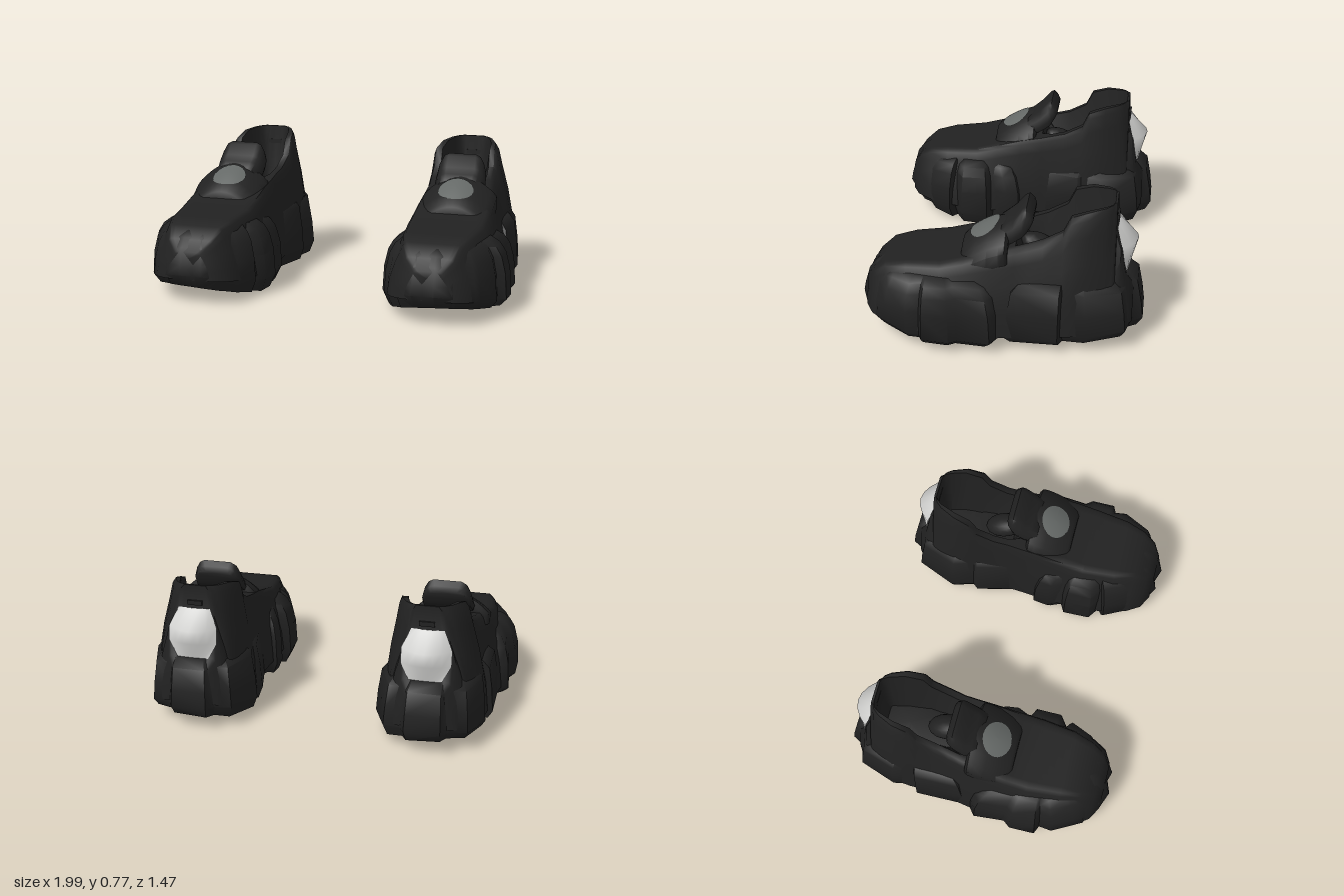
import * as THREE from 'three';
import { toCreasedNormals } from 'three/addons/utils/BufferGeometryUtils.js';

const black = new THREE.MeshStandardMaterial({ color: 0x212121 });
black.name = 'black fabric';
const grey = new THREE.MeshStandardMaterial({ color: 0x646866 });
grey.name = 'grey badge';
const white = new THREE.MeshStandardMaterial({ color: 0xd6d6d4, side: THREE.DoubleSide });
white.name = 'pale heel panel';

// Joins closed rings of [x, y, z] points into a capped solid that faces outwards
function loft(rings, side, crease) {
  const n = rings[0].length;
  const pos = rings.flat().map((p) => [p[0] * side, p[1], p[2]]);
  const tris = [];
  for (let i = 0; i < rings.length - 1; i++) {
    for (let j = 0; j < n; j++) {
      const a = i * n + j, b = i * n + (j + 1) % n;
      tris.push([a, b, a + n], [b, b + n, a + n]);
    }
  }
  for (const [start, flip] of [[0, true], [(rings.length - 1) * n, false]]) {
    const c = [0, 1, 2].map((k) => pos.slice(start, start + n).reduce((s, p) => s + p[k], 0) / n);
    pos.push(c);
    const ci = pos.length - 1;
    for (let j = 0; j < n; j++) {
      const a = start + j, b = start + (j + 1) % n;
      tris.push(flip ? [ci, b, a] : [ci, a, b]);
    }
  }
  const v = pos.map((p) => new THREE.Vector3(...p));
  const volume = tris.reduce((s, [a, b, c]) => s + v[a].dot(v[b].clone().cross(v[c])), 0);
  const index = tris.map(([a, b, c]) => (volume < 0 ? [a, c, b] : [a, b, c])).flat();
  const geo = new THREE.BufferGeometry();
  geo.setAttribute('position', new THREE.Float32BufferAttribute(pos.flat(), 3));
  geo.setIndex(index);
  return toCreasedNormals(geo, crease);
}

// Lugged sole outlines (x, z)
const foreOutline = [
  [0.62, 0.71], [0.69, 0.735], [0.78, 0.70], [0.79, 0.67], [0.88, 0.63], [0.90, 0.59], [0.96, 0.47],
  [0.95, 0.40], [0.995, 0.38], [0.995, 0.24], [0.965, 0.20], [0.98, 0.03], [0.93, -0.01],
  [0.42, -0.01], [0.40, 0.03], [0.36, 0.04], [0.35, 0.12], [0.385, 0.20], [0.33, 0.23], [0.33, 0.38],
  [0.40, 0.43], [0.36, 0.46], [0.41, 0.58], [0.47, 0.62], [0.48, 0.67], [0.57, 0.725],
];
const heelOutline = [
  [0.93, -0.04], [0.935, -0.31], [0.89, -0.33], [0.915, -0.45], [0.85, -0.65], [0.75, -0.675],
  [0.72, -0.735], [0.53, -0.735], [0.50, -0.675], [0.41, -0.66], [0.33, -0.45], [0.37, -0.33],
  [0.345, -0.30], [0.40, -0.07], [0.42, -0.04],
];

const lift = (z) => (z > 0
  ? 0.003 + 0.095 * (Math.max(0, z - 0.2) / 0.53) ** 2
  : 0.02 + 0.04 * Math.max(0, -z - 0.3) / 0.4);

// Each level is [height, scale]; the first two follow the curved underside
function soleGeometry(outline, zc, levels, side) {
  const rings = levels.map(([h, s], i) => outline.map(([x, z]) => {
    const px = 0.65 + (x - 0.65) * s, pz = zc + (z - zc) * s;
    const y = i < 2 ? lift(pz) + h + 0.06 * (px - 0.39) * (1 - i) : h;
    return [px, y, pz];
  }));
  return loft(rings, side, 0.95);
}

// Upper: [z, base inner x, base outer x, top inner x, top outer x, top y, depth of opening]
const upperSections = [
  [0.70, 0.52, 0.78, 0.58, 0.72, 0.29, 0],
  [0.66, 0.45, 0.85, 0.53, 0.77, 0.35, 0],
  [0.59, 0.41, 0.90, 0.50, 0.80, 0.408, 0],
  [0.48, 0.38, 0.94, 0.47, 0.83, 0.43, 0],
  [0.30, 0.36, 0.965, 0.45, 0.85, 0.447, 0],
  [0.18, 0.37, 0.96, 0.45, 0.85, 0.48, 0],
  [0.04, 0.38, 0.95, 0.45, 0.84, 0.52, 0],
  [-0.08, 0.39, 0.93, 0.45, 0.82, 0.545, 0],
  [-0.14, 0.39, 0.93, 0.45, 0.81, 0.56, 0.18],
  [-0.22, 0.38, 0.92, 0.44, 0.80, 0.585, 0.28],
  [-0.32, 0.37, 0.91, 0.435, 0.795, 0.64, 0.36],
  [-0.36, 0.37, 0.91, 0.435, 0.79, 0.725, 0.43],
  [-0.45, 0.37, 0.90, 0.45, 0.78, 0.754, 0.45],
  [-0.53, 0.39, 0.87, 0.485, 0.745, 0.764, 0.43],
  [-0.56, 0.40, 0.86, 0.51, 0.72, 0.768, 0.25],
  [-0.57, 0.40, 0.86, 0.53, 0.70, 0.77, 0],
  [-0.583, 0.41, 0.85, 0.54, 0.69, 0.77, 0],
  [-0.585, 0.41, 0.85, 0.52, 0.72, 0.64, 0],
  [-0.61, 0.42, 0.84, 0.50, 0.75, 0.57, 0],
  [-0.64, 0.43, 0.83, 0.50, 0.75, 0.385, 0],
  [-0.68, 0.48, 0.77, 0.53, 0.72, 0.34, 0],
];
// Side wall as [height, inward lean] fractions
const wall = [[0, 0], [0.3, 0.14], [0.6, 0.46], [0.82, 0.78], [0.95, 0.95], [1, 1.12]];

function upperRing([z, bi, bo, ti, to, top, dip]) {
  const y0 = 0.09 + 0.1 * z * z;
  const mid = (ti + to) / 2;
  const half = (b, t) => {
    const pts = wall.map(([h, f]) => [b + (t - b) * f, y0 + (top - y0) * h, z]);
    for (const [f, d] of [[0.24, 0], [0.4, 0.5], [0.62, 1]]) pts.push([t + (mid - t) * f, top - dip * d, z]);
    return pts;
  };
  return [...half(bi, ti), [mid, top - dip, z], ...half(bo, to).reverse()];
}

// Strap domed across the instep: centre-line height, then an arched section
const strapX = 0.66, strapHalf = 0.2;
const strapTop = (z) => 0.518 + 0.85 * (0.2 - z) - 1.4 * (0.2 - z) ** 2;
const strapY = (dx, z) => strapTop(z) - 0.1 * (dx / strapHalf) ** 2;

function strapRing([z, width, sink]) {
  const ring = [];
  for (let i = 0; i <= 12; i++) {
    const dx = (i / 6 - 1) * strapHalf;
    ring.push([strapX + dx * width, strapY(dx, z) - sink, z]);
  }
  const base = strapTop(z) - 0.17;
  return [...ring, [strapX + strapHalf * width, base, z], [strapX - strapHalf * width, base, z]];
}
const strapSections = [[0.20, 0.9, 0.005], [0.185, 0.95, 0], [0.13, 0.98, 0], [0.06, 1, 0], [0, 1, 0],
  [-0.03, 0.98, 0], [-0.045, 0.92, 0.02]];

// Badge follows the dome of the strap
function badgeGeometry(side) {
  const geo = new THREE.RingGeometry(0, 1, 20, 4);
  const p = geo.attributes.position;
  for (let i = 0; i < p.count; i++) {
    const dx = p.getX(i) * 0.097, z = 0.09 - p.getY(i) * 0.077;
    p.setXYZ(i, (strapX - 0.007) * side + dx, strapY(dx, z) + 0.006, z);
  }
  geo.computeVertexNormals();
  return geo;
}

// Tongue section: [z, top y, bottom y, inner x, outer x]
function tongueRing([z, t, b, xi, xo]) {
  const h = t - b, w = xo - xi;
  const edge = [[0.03, 0], [0, 0.25], [0.05, 0.65], [0.12, 0.9], [0.22, 1]];
  return [...edge.map(([u, v]) => [xi + u * w, b + v * h, z]),
    ...edge.map(([u, v]) => [xo - u * w, b + v * h, z]).reverse()];
}
const tongueSections = [
  [0.01, 0.615, 0.53, 0.52, 0.77], [-0.03, 0.645, 0.54, 0.51, 0.78], [-0.065, 0.675, 0.56, 0.505, 0.785],
  [-0.11, 0.73, 0.59, 0.505, 0.78], [-0.13, 0.742, 0.61, 0.51, 0.775], [-0.155, 0.715, 0.65, 0.525, 0.76],
  [-0.165, 0.69, 0.67, 0.55, 0.74],
];

// Domed heel panel: rows of [y, centre z, edge z, half width]
function heelPanelGeometry(side) {
  const rows = [[0.645, -0.592, -0.587, 0.085], [0.55, -0.695, -0.617, 0.13],
    [0.47, -0.672, -0.629, 0.13], [0.385, -0.648, -0.643, 0.085]];
  const geo = new THREE.PlaneGeometry(1, 1, 6, 3);
  const p = geo.attributes.position;
  for (let i = 0; i < p.count; i++) {
    const u = (i % 7) / 3 - 1;
    const [y, zc, ze, hw] = rows[Math.floor(i / 7)];
    // columns run towards -x so that the face looks backwards
    p.setXYZ(i, 0.62 * side - u * hw, y, zc + (ze - zc) * u * u);
  }
  geo.computeVertexNormals();
  return geo;
}

function createShoe(side) {
  const shoe = new THREE.Group();
  shoe.name = side > 0 ? 'leftShoe' : 'rightShoe';
  const add = (name, geo, mat) => {
    const mesh = new THREE.Mesh(geo, mat);
    mesh.name = name;
    shoe.add(mesh);
    return mesh;
  };
  add('forefootSole', soleGeometry(foreOutline, 0.33,
    [[0, 0.9], [0.07, 1], [0.22, 0.975], [0.31, 0.91], [0.36, 0.82], [0.39, 0.7]], side), black);
  add('heelSole', soleGeometry(heelOutline, -0.36,
    [[0, 0.92], [0.065, 1], [0.22, 0.97], [0.34, 0.91], [0.385, 0.78]], side), black);
  add('upper', loft(upperSections.map(upperRing), side, 0.95), black);
  add('strap', loft(strapSections.map(strapRing), side, 0.9), black);
  add('strapBadge', badgeGeometry(side), grey);
  add('tongue', loft(tongueSections.map(tongueRing), side, 1), black);

  // Inner end of the tongue, down in the opening
  const inner = add('innerTongue', new THREE.SphereGeometry(1, 14, 10), black);
  inner.scale.set(0.07, 0.06, 0.12);
  inner.position.set(0.62 * side, 0.46, -0.2);
  inner.rotation.x = -0.5;

  add('heelPanel', heelPanelGeometry(side), white);
  const lip = add('heelLip', new THREE.BoxGeometry(0.08, 0.025, 0.03), black);
  lip.position.set(0.615 * side, 0.675, -0.58);
  return shoe;
}

export function createModel() {
  const model = new THREE.Group();
  model.name = 'pairOfShoes';
  model.add(createShoe(1), createShoe(-1));
  return model;
}
